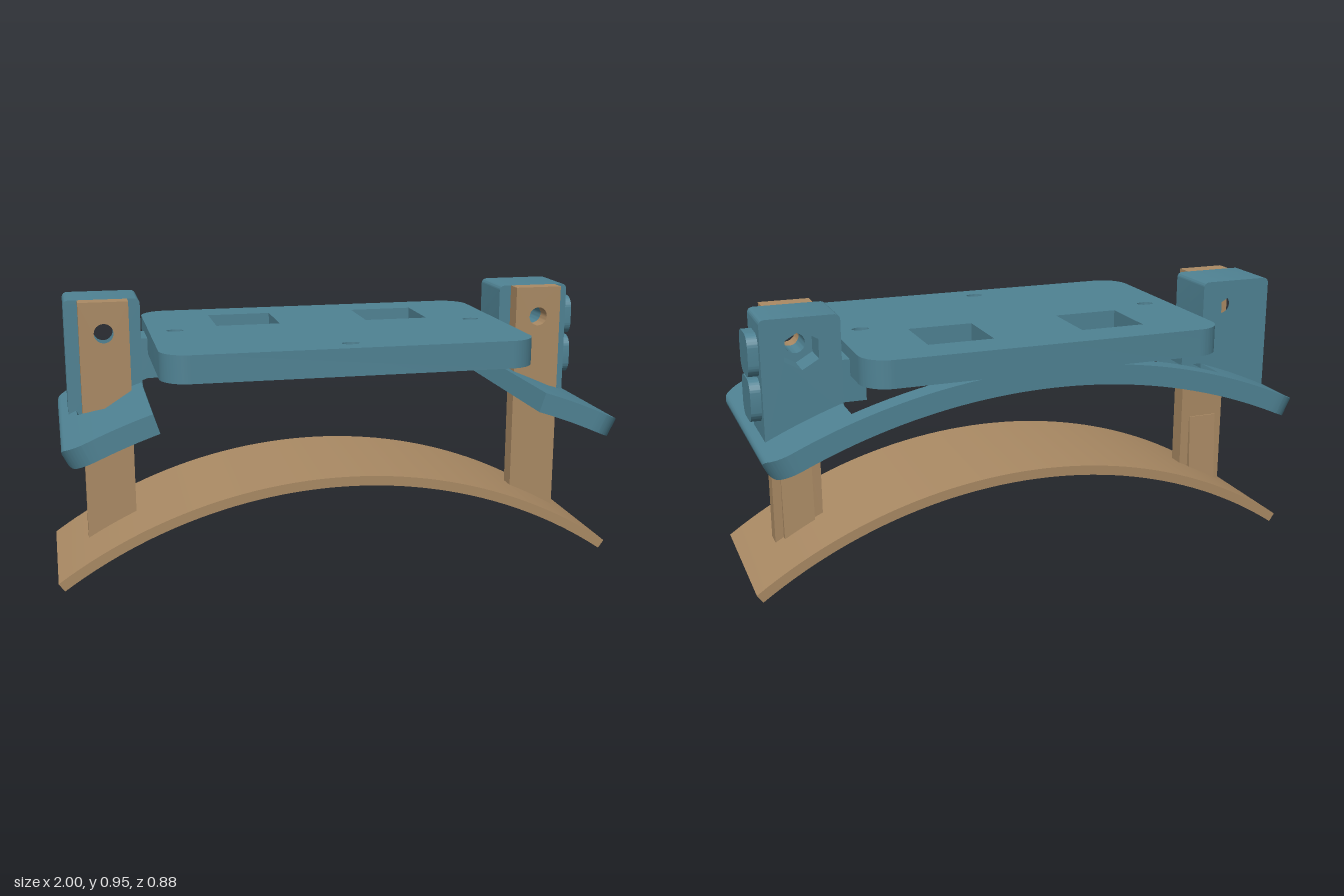
import * as THREE from 'three';
import { toCreasedNormals } from 'three/addons/utils/BufferGeometryUtils.js';

const blue = new THREE.MeshStandardMaterial({ color: 0x4f8293 });
const tan = new THREE.MeshStandardMaterial({ color: 0xaa8a64 });
const CY = -1.4;                 // height of the common arc centre
const R_IN = 2.09, R_OUT = 2.16; // upper arched body
const R_MID = 2.125, TIP = 0.468;

function add(parent, name, geometry, material) {
  const mesh = new THREE.Mesh(geometry, material);
  mesh.name = name;
  parent.add(mesh);
  return mesh;
}

// Curved slab: one rectangular section per angle
function arcSlab(angles, section) {
  const pos = [], idx = [];
  for (const a of angles) {
    const { rI, rO, zF, zB } = section(a);
    for (const [r, z] of [[rO, zF], [rO, zB], [rI, zB], [rI, zF]]) {
      pos.push(r * Math.sin(a), CY + r * Math.cos(a), z);
    }
  }
  const quad = (a, b, c, d) => idx.push(a, b, c, a, c, d);
  for (let i = 0; i < angles.length - 1; i++) {
    for (let k = 0; k < 4; k++) {
      const p = i * 4 + k, q = i * 4 + (k + 1) % 4;
      quad(p, p + 4, q + 4, q);
    }
  }
  const e = (angles.length - 1) * 4;
  quad(0, 1, 2, 3);
  quad(e + 3, e + 2, e + 1, e);
  const g = new THREE.BufferGeometry();
  g.setAttribute('position', new THREE.Float32BufferAttribute(pos, 3));
  g.setIndex(idx);
  return toCreasedNormals(g, 0.5);
}

const range = (a, b, n, ease = (t) => t) =>
  Array.from({ length: n + 1 }, (_, i) => a + (b - a) * ease(i / n));

// Upper body section with rounded corners and softened end edges
function bodySection(a, zF, zB) {
  const left = Math.max(0, (TIP - Math.abs(a)) * R_MID);
  const inset = (r) => {
    const d = Math.max(0, r - left);
    return r - Math.sqrt(Math.max(0, r * r - d * d));
  };
  const c = inset(0.1), t = inset(0.022);
  return { rI: R_IN + t, rO: R_OUT - t, zF: Math.min(zF, 0.435 - c), zB: Math.max(zB, -0.44 + c) };
}

function extrude(shape, z0, z1) {
  const g = new THREE.ExtrudeGeometry(shape, { depth: z1 - z0, bevelEnabled: false, curveSegments: 16 });
  g.translate(0, 0, z0);
  return toCreasedNormals(g, 0.5);
}

function roundedRect(x0, y0, x1, y1, r) {
  const s = new THREE.Shape();
  s.absarc(x1 - r, y1 - r, r, 0, Math.PI / 2);
  s.absarc(x0 + r, y1 - r, r, Math.PI / 2, Math.PI);
  s.absarc(x0 + r, y0 + r, r, Math.PI, Math.PI * 1.5);
  s.absarc(x1 - r, y0 + r, r, Math.PI * 1.5, Math.PI * 2);
  s.closePath();
  return s;
}

function ellipseHole(x, y, rx, ry) {
  const p = new THREE.Path();
  p.absellipse(x, y, rx, ry, 0, Math.PI * 2, true);
  return p;
}

function polygon(points, Type = THREE.Shape) {
  return new Type(points.map(([x, y]) => new THREE.Vector2(x, y)));
}

// Flat deck with two windows and three small holes
function deck() {
  const s = roundedRect(-0.642, -0.435, 0.642, 0.44, 0.095);
  for (const x of [-0.395, 0.16]) {
    s.holes.push(polygon([[x, 0.07], [x, 0.3], [x + 0.232, 0.3], [x + 0.232, 0.07]], THREE.Path));
  }
  for (const [x, y] of [[-0.55, 0.01], [0.545, 0.01], [0, -0.35]]) {
    s.holes.push(ellipseHole(x, y, 0.03, 0.021));
  }
  return extrude(s, 0.745, 0.84).rotateX(-Math.PI / 2);
}

// Wing, bracket and post for one end (sx = 1 or -1)
function endAssembly(sx) {
  const g = new THREE.Group();
  g.name = sx > 0 ? 'leftEnd' : 'rightEnd';
  const ang = (x) => Math.asin(x / R_MID);
  const side = (list) => (sx > 0 ? list : list.map((a) => -a).reverse());
  const wing = (name, angles, zF, zB) =>
    add(g, name, arcSlab(side(angles), (a) => bodySection(a, zF(a), zB)), blue);
  const front = () => 0.435;

  // Wing pieces around the pointed slot
  wing('wingInner', range(ang(0.662), ang(0.705), 3), front, -0.44);
  wing('wingOuter', range(ang(0.89), TIP, 26, (t) => Math.sin(t * Math.PI / 2)), front, -0.44);
  const mid = range(ang(0.705), ang(0.89), 12);
  wing('wingBack', mid, () => -0.04, -0.44);
  add(g, 'wingFront', arcSlab(side(mid), (a) => {
    const x = R_MID * Math.sin(Math.abs(a));
    return bodySection(a, 0.435, 0.03 + 0.09 * (1 - Math.abs(x - 0.7975) / 0.0925));
  }), blue);

  // Bracket: round hole in front, hexagonal nut pocket behind
  const bracket = () => {
    const s = new THREE.Shape();
    const r = 0.022, x0 = 0.668, x1 = 0.933, top = 0.955;
    s.moveTo(sx * x0, 0.62);
    s.lineTo(sx * x1, 0.525);
    s.lineTo(sx * x1, top - r);
    s.quadraticCurveTo(sx * x1, top, sx * (x1 - r), top);
    s.lineTo(sx * (x0 + r), top);
    s.quadraticCurveTo(sx * x0, top, sx * x0, top - r);
    s.closePath();
    return s;
  };
  const hx = sx * 0.8, hy = 0.845;
  const frontShape = bracket(), backShape = bracket();
  frontShape.holes.push(ellipseHole(hx, hy, 0.034, 0.034));
  backShape.holes.push(polygon(range(0, Math.PI * 5 / 3, 5).map((a) =>
    [hx + 0.066 * Math.sin(a), hy + 0.066 * Math.cos(a)]), THREE.Path));
  add(g, 'bracketFront', extrude(frontShape, -0.14, -0.038), blue);
  add(g, 'bracketBack', extrude(backShape, -0.24, -0.14), blue);

  // Link between deck and bracket
  const link = new THREE.BoxGeometry(0.085, 0.145, 0.15);
  add(g, 'bracketLink', link, blue).position.set(sx * 0.632, 0.728, -0.165);

  // Post rising from the lower arch
  const post = polygon([[0.712, 0.175], [0.885, 0.085], [0.885, 0.955], [0.712, 0.955]]
    .map(([x, y]) => [sx * x, y]));
  post.holes.push(ellipseHole(hx, hy, 0.034, 0.034));
  add(g, 'post', extrude(post, -0.038, 0.024), tan);

  // Snap wedge on the back of the post
  const wedge = polygon([[0.03, 0.12], [0.06, 0.12], [0.043, 0.38], [0.03, 0.38]]);
  add(g, 'snapWedge', extrude(wedge, -0.055, 0.055).rotateY(Math.PI / 2)
    .scale(1, 1, 1).translate(sx * 0.8, 0, 0), tan);
  return g;
}

export function createModel() {
  const model = new THREE.Group();
  model.name = 'archedStand';

  // Lower arch
  add(model, 'lowerArch', arcSlab(range(-0.61, 0.61, 48), () =>
    ({ rI: 1.71, rO: 1.745, zF: 0.265, zB: -0.283 })), tan);

  // Upper body: deck and the rear arch carrying it
  add(model, 'deck', deck(), blue);
  const e = Math.asin(0.662 / R_MID);
  add(model, 'rearArch', arcSlab(range(-e, e, 32), (a) => bodySection(a, -0.362, -0.44)), blue);

  for (const sx of [1, -1]) model.add(endAssembly(sx));

  // Plain raised pads on one bracket
  for (const y of [0.603, 0.755]) {
    const pad = roundedRect(0.062, y, 0.213, y + 0.145, 0.045);
    add(model, 'raisedPad', extrude(pad, 0.93, 0.968).rotateY(Math.PI / 2), blue);
  }
  return model;
}
